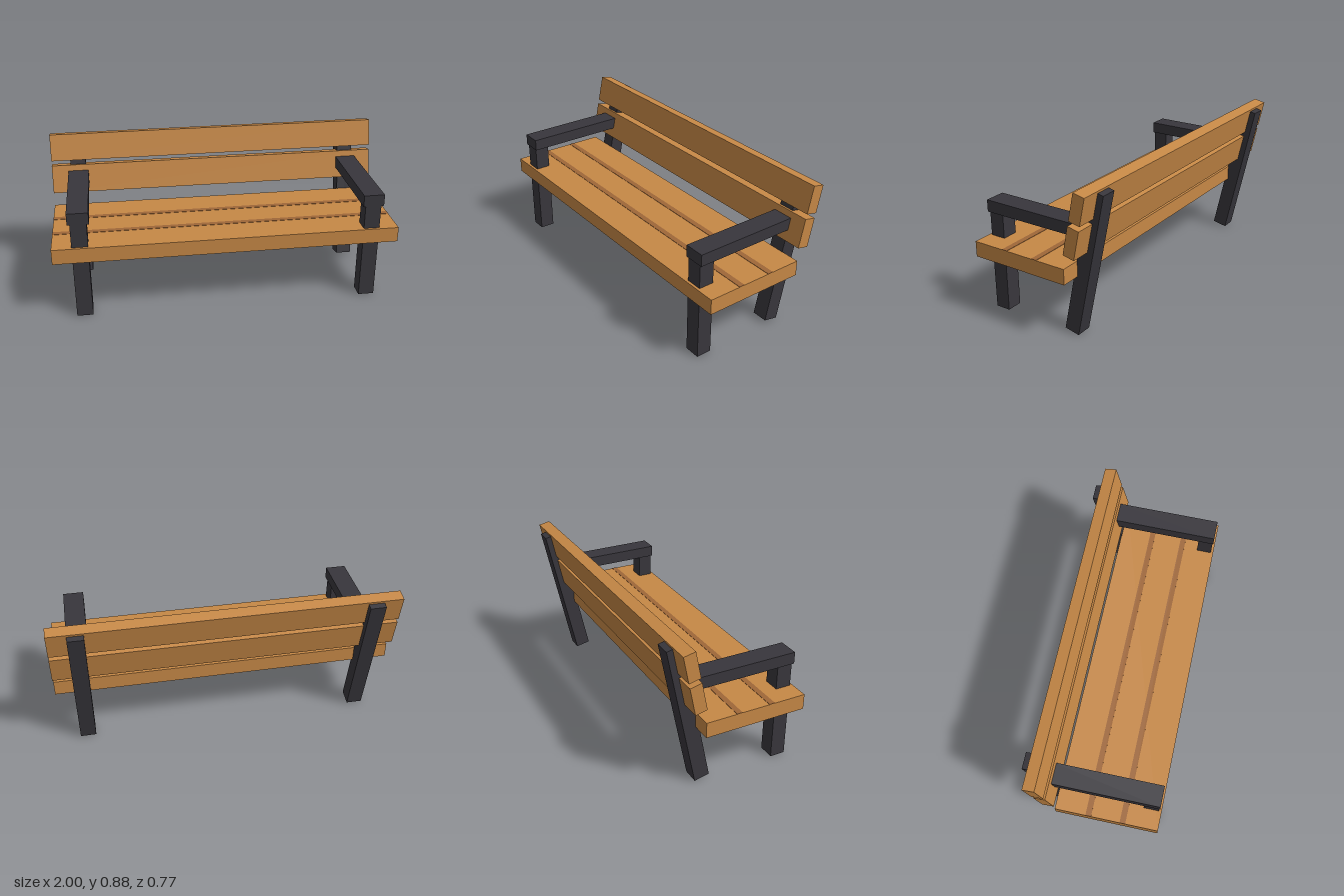
import * as THREE from 'three';

export function createModel() {
  const bench = new THREE.Group();
  bench.name = 'bench';

  const material = (name, color) => {
    const m = new THREE.MeshStandardMaterial({ color });
    m.name = name;
    return m;
  };
  const wood = material('wood', 0xc68846);
  const seam = material('dark wood', 0x9f6738);
  const metal = material('dark metal', 0x38363c);

  // Box given by its size, centre and backward tilt
  const box = (name, mat, [w, h, d], [x, y, z], tilt = 0) => {
    const mesh = new THREE.Mesh(new THREE.BoxGeometry(w, h, d), mat);
    mesh.name = name;
    mesh.position.set(x, y, z);
    mesh.rotation.x = -tilt;
    bench.add(mesh);
  };
  const lean = THREE.MathUtils.degToRad(12);

  // Seat, with two darker seams running its full length
  box('seat', wood, [2, 0.09, 0.6], [0, 0.4, 0.088]);
  for (const z of [-0.016, 0.183]) {
    box('seatSeam', seam, [2, 0.003, 0.033], [0, 0.4455, z]);
  }

  // Leaning backrest boards
  box('lowerBackBoard', wood, [2, 0.17, 0.07], [0, 0.601, -0.262], lean);
  box('upperBackBoard', wood, [2, 0.161, 0.07], [0, 0.791, -0.303], lean);

  // Legs and armrests on both sides
  for (const side of [-1, 1]) {
    const x = side * 0.841;
    box('frontLeg', metal, [0.093, 0.59, 0.089], [x, 0.295, 0.328]);
    box('backLeg', metal, [0.093, 0.859, 0.089], [x, 0.431, -0.2525], lean);
    box('armrest', metal, [0.121, 0.069, 0.637], [x, 0.6215, 0.0585]);
  }
  return bench;
}
